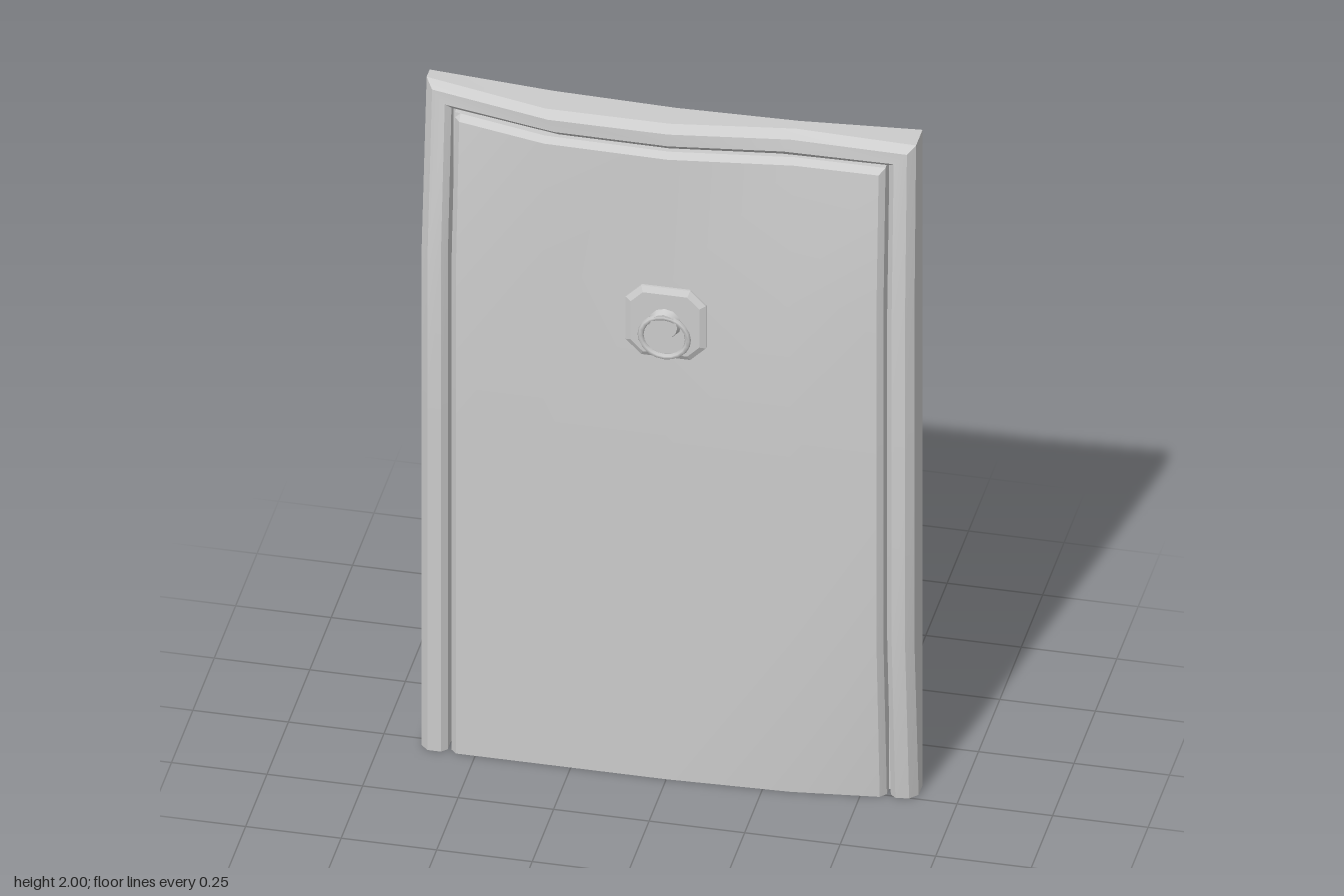
import * as THREE from 'three';
import { toCreasedNormals } from 'three/addons/utils/BufferGeometryUtils.js';

const HALF = 0.645, FRONT = 0.05, BACK = -0.085;
const material = new THREE.MeshStandardMaterial({ color: 0xcccccc, side: THREE.DoubleSide });

// Wear of the front face: depth lost along the top and bottom edges
const TOP_WARP = [-0.06, -0.01, -0.02, -0.06, -0.02];
const BOTTOM_WARP = [0, 0, 0, -0.012, -0.05];

function warp(x, y, z) {
  if (z <= 0) return z;
  const s = THREE.MathUtils.clamp((x / HALF + 1) * 2, 0, 4);
  const i = Math.min(3, Math.floor(s));
  const row = (r) => THREE.MathUtils.lerp(r[i], r[i + 1], s - i);
  const top = Math.max(0, (y - 1.5) / 0.5), bottom = Math.max(0, (0.5 - y) / 0.5);
  return z + row(TOP_WARP) * top + row(BOTTOM_WARP) * bottom;
}

// Sagging top edge, t runs from -1 to 1
const topY = (t) => 2 - 0.025 * (1 - t * t);

// Joins closed rings; each ring lists its front points, then the same number of back points reversed
function loft(name, rings) {
  const n = rings[0].length, index = [];
  const quad = (a, b, c, d) => index.push(a, b, c, a, c, d);
  for (let r = 0; r < rings.length - 1; r++) {
    for (let i = 0; i < n; i++) {
      const j = (i + 1) % n;
      quad(r * n + i, r * n + j, (r + 1) * n + j, (r + 1) * n + i);
    }
  }
  const last = (rings.length - 1) * n;
  for (let i = 0; i < n / 2 - 1; i++) {
    quad(last + i, last + i + 1, last + n - 2 - i, last + n - 1 - i);
    quad(n - 1 - i, n - 2 - i, i + 1, i);
  }
  const points = rings.flat().flatMap(([x, y, z]) => [x, y, warp(x, y, z)]);
  const geometry = new THREE.BufferGeometry();
  geometry.setAttribute('position', new THREE.Float32BufferAttribute(points, 3));
  geometry.setIndex(index);
  return mesh(name, toCreasedNormals(geometry, 0.4));
}

function mesh(name, geometry) {
  const m = new THREE.Mesh(geometry, material);
  m.name = name;
  return m;
}

// Chamfered frame: one section swept up the right side, over the top and down the left
function makeFrame() {
  const section = [
    [0, FRONT - 0.02], [0.02, FRONT], [0.055, FRONT], [0.07, FRONT - 0.015],
    [0.07, BACK + 0.015], [0.055, BACK], [0.02, BACK], [0, BACK + 0.02],
  ];
  const rows = [0, 0.5, 1, 1.5];
  const side = (s, y) => section.map(([d, z]) => [s * (HALF - d), y, z]);
  const over = (t) => section.map(([d, z]) => [t * (HALF - d), topY(t) - d, z]);
  return loft('frame', [
    ...rows.map((y) => side(-1, y)),
    ...[-1, -0.5, 0, 0.5, 1].map(over),
    ...rows.reverse().map((y) => side(1, y)),
  ]);
}

// Board with chamfered left, right and top edges
function makeBoard(name, inset, front, back, bevel) {
  const e = HALF - inset;
  const columns = [-e, -e + bevel, -HALF / 2, 0, HALF / 2, e - bevel, e];
  const ring = (height, shrink) => {
    const face = (z, dir) => columns.map((x, i) => {
      const edge = i === 0 || i === columns.length - 1;
      return [x, height(x / e), z - dir * (edge || shrink ? bevel : 0)];
    });
    return [...face(front, 1), ...face(back, -1).reverse()];
  };
  return loft(name, [
    ...[0, 0.5, 1, 1.5].map((y) => ring(() => y, false)),
    ring((t) => topY(t) - inset - bevel, false),
    ring((t) => topY(t) - inset, true),
  ]);
}

// Octagonal plate, boss and hanging ring
function makeHandle() {
  const handle = new THREE.Group();
  handle.name = 'handle';
  handle.position.set(0, 1.397, FRONT);

  const h = 0.09, c = 0.058;
  const outline = [[h, c], [c, h], [-c, h], [-h, c], [-h, -c], [-c, -h], [c, -h], [h, -c]];
  const plate = mesh('handlePlate', new THREE.ExtrudeGeometry(
    new THREE.Shape(outline.map(([x, y]) => new THREE.Vector2(x, y))),
    { depth: 0.006, bevelEnabled: true, bevelThickness: 0.009, bevelSize: 0.015, bevelSegments: 1 }));

  const bossGeometry = new THREE.CylinderGeometry(0.036, 0.044, 0.02, 12);
  bossGeometry.rotateX(Math.PI / 2);
  const boss = mesh('handleBoss', toCreasedNormals(bossGeometry, 0.6));
  boss.position.set(0, 0.004, 0.023);

  const ring = mesh('handleRing', new THREE.TorusGeometry(0.062, 0.008, 6, 20));
  ring.position.set(0, -0.033, 0.023);
  ring.rotation.x = 0.06;

  handle.add(plate, boss, ring);
  return handle;
}

export function createModel() {
  const model = new THREE.Group();
  model.name = 'door';
  model.add(
    makeFrame(),
    makeBoard('panel', 0.08, FRONT, BACK, 0.015),
    makeBoard('panelTongue', 0.066, -0.03, -0.05, 0.002), // closes the groove around the panel
    makeHandle(),
  );
  return model;
}
